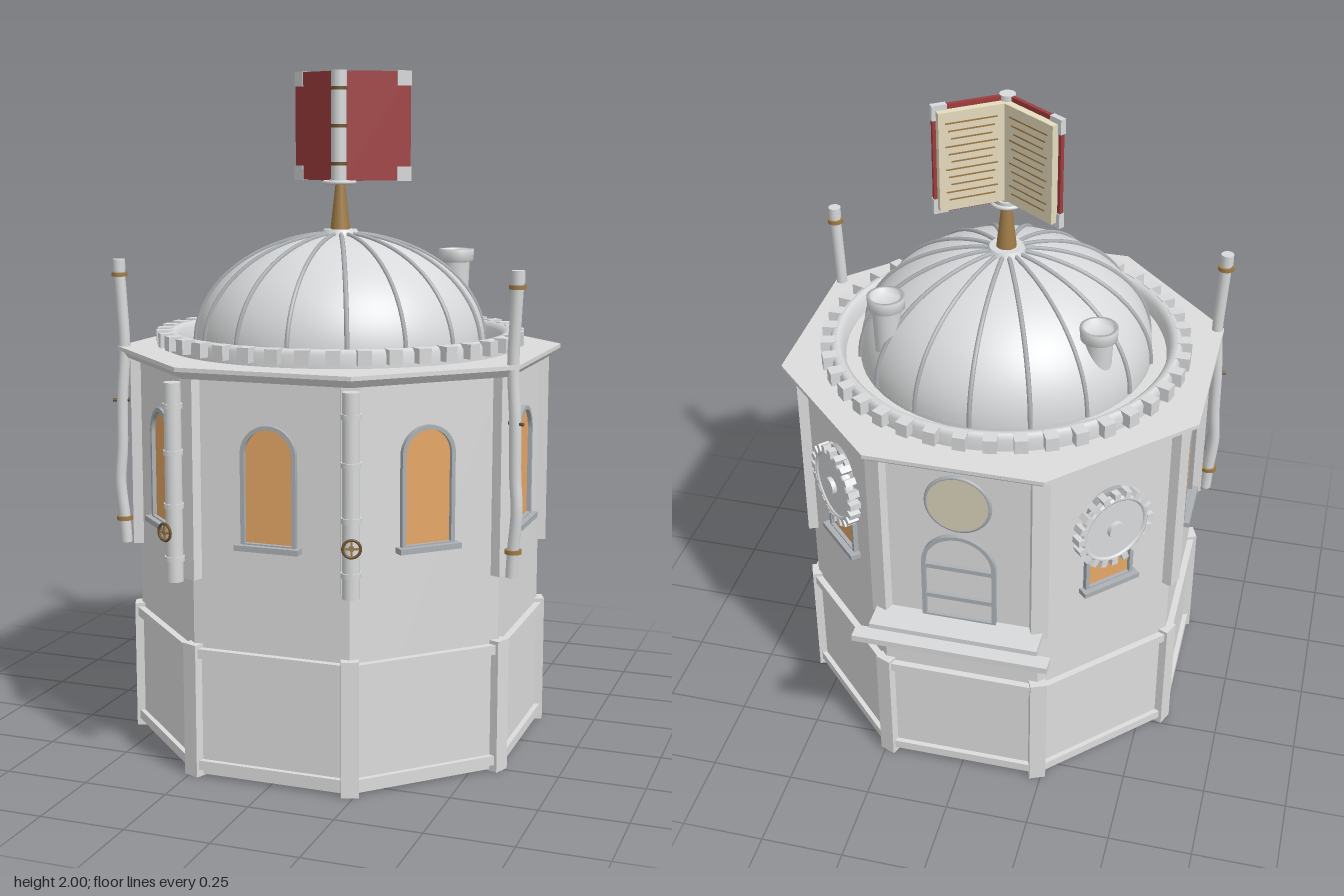
import * as THREE from 'three';

const mat = (name, color) => new THREE.MeshStandardMaterial({ name, color });
const M = {
  wall: mat('wall grey', 0xdcdcdc),
  metal: mat('pale metal', 0xd8d9da),
  frame: mat('frame grey', 0xacb0b4),
  dark: mat('dark bronze', 0x6e5433),
  glass: mat('amber glass', 0xe6a766),
  red: mat('book red', 0xa03c3f),
  paper: mat('paper cream', 0xe6dcbe),
  brass: mat('brass', 0xa07c48),
  pane: mat('dull pane', 0xd6cfb8),
};
const C = Math.cos(Math.PI / 8);

function add(parent, name, geo, material, x = 0, y = 0, z = 0) {
  const m = new THREE.Mesh(geo, material);
  m.name = name;
  m.position.set(x, y, z);
  parent.add(m);
  return m;
}
function sub(parent, name, angle = 0) {
  const g = new THREE.Group();
  g.name = name;
  g.rotation.y = angle;
  parent.add(g);
  return g;
}
const box = (w, h, d) => new THREE.BoxGeometry(w, h, d);
const cyl = (rt, rb, h, n = 20) => new THREE.CylinderGeometry(rt, rb, h, n);
const disc = (r, d, n = 32) => cyl(r, r, d, n).rotateX(Math.PI / 2);
const ring = (r, t, n = 24) => new THREE.TorusGeometry(r, t, 8, n);
const lathe = (pts, n = 64) => new THREE.LatheGeometry(pts.map(p => new THREE.Vector2(...p)), n);
// eight-sided prism with flat sides facing the axes, sized by apothem
const octagon = (top, bottom, h) => {
  const g = new THREE.CylinderGeometry(top / C, bottom / C, h, 8).rotateY(Math.PI / 8).toNonIndexed();
  g.computeVertexNormals();
  return g;
};

// round-headed outline of half width w between heights y0 and y1
function arch(w, y0, y1, Type = THREE.Shape) {
  const s = new Type();
  s.moveTo(-w, y0);
  s.lineTo(w, y0);
  s.lineTo(w, y1 - w);
  s.absarc(0, y1 - w, w, 0, Math.PI, false);
  s.lineTo(-w, y0);
  return s;
}
const extrude = (s, depth) => new THREE.ExtrudeGeometry(s, { depth, bevelEnabled: false, curveSegments: 16 });

function archedOpening(parent, w, y0, y1, fill, fillName) {
  const outer = arch(w, y0, y1);
  outer.holes.push(arch(w - 0.012, y0 + 0.008, y1 - 0.012, THREE.Path));
  add(parent, 'archFrame', extrude(outer, 0.02), M.frame, 0, 0, 0.56);
  add(parent, fillName, extrude(arch(w - 0.01, y0 + 0.004, y1 - 0.01), 0.008), fill, 0, 0, 0.56);
}

function wallWindow(parent) {
  archedOpening(parent, 0.082, 0.69, 1.03, M.glass, 'windowGlass');
  add(parent, 'windowSill', box(0.19, 0.016, 0.04), M.frame, 0, 0.686, 0.577);
}

function wallGear(parent) {
  const g = sub(parent, 'wallGear');
  g.position.set(0, 0.9, 0.587);
  add(g, 'gearDisc', disc(0.11, 0.02, 40), M.metal);
  add(g, 'gearRim', ring(0.104, 0.008, 40), M.metal, 0, 0, 0.008);
  add(g, 'gearHub', disc(0.027, 0.02), M.metal, 0, 0, 0.014);
  add(g, 'gearAxle', disc(0.02, 0.03), M.metal, 0, 0, -0.02);
  for (let i = 0; i < 20; i++) {
    const a = i * Math.PI / 10;
    add(g, 'gearTooth', box(0.02, 0.022, 0.034), M.metal, Math.sin(a) * 0.117, Math.cos(a) * 0.117, 0).rotation.z = -a;
  }
}

function backDoor(parent) {
  add(parent, 'roundPane', disc(0.09, 0.012), M.pane, 0, 1.02, 0.567);
  add(parent, 'roundFrame', ring(0.092, 0.007, 36), M.frame, 0, 1.02, 0.567);
  archedOpening(parent, 0.11, 0.6, 0.91, M.wall, 'doorPanel');
  for (const y of [0.68, 0.79]) add(parent, 'doorBar', box(0.2, 0.014, 0.022), M.frame, 0, y, 0.57);
  add(parent, 'balconyPlank', box(0.5, 0.02, 0.1), M.metal, 0, 0.592, 0.61);
  add(parent, 'balconyEdge', box(0.58, 0.02, 0.048), M.metal, 0, 0.576, 0.68);
}

// upright pipe with collars and a hand valve on a front corner
function valvePipe(parent) {
  add(parent, 'cornerPipe', cyl(0.024, 0.024, 0.56), M.metal, 0, 0.865, 0.68);
  for (const y of [0.65, 0.8, 0.95, 1.08]) add(parent, 'pipeCollar', cyl(0.028, 0.028, 0.014), M.metal, 0, y, 0.68);
  add(parent, 'valveStem', disc(0.007, 0.04, 10), M.brass, 0, 0.73, 0.7);
  add(parent, 'valveWheel', ring(0.024, 0.004), M.dark, 0, 0.73, 0.716);
  for (const a of [0, Math.PI / 2]) add(parent, 'valveSpoke', box(0.046, 0.005, 0.005), M.brass, 0, 0.73, 0.716).rotation.z = a;
}

// tall wavy pipe rising past the roof edge on a side corner
function tallPipe(parent) {
  const pts = [[0.58, 0.655], [0.66, 0.66], [0.77, 0.67], [0.87, 0.663], [1.02, 0.66], [1.18, 0.65], [1.3, 0.655], [1.42, 0.662]];
  const path = new THREE.CatmullRomCurve3(pts.map(([y, r]) => new THREE.Vector3(0, y, r)));
  add(parent, 'tallPipe', new THREE.TubeGeometry(path, 40, 0.017, 12), M.metal);
  add(parent, 'pipeTip', cyl(0.019, 0.019, 0.035), M.metal, 0, 1.428, 0.662);
  for (const [y, r] of [[1.4, 0.661], [0.655, 0.66]]) add(parent, 'pipeBand', cyl(0.024, 0.024, 0.012), M.brass, 0, y, r);
  add(parent, 'pipeBolt', disc(0.005, 0.05, 10), M.dark, 0, 1.02, 0.663);
}

function chimney(parent, x, z, top) {
  const g = sub(parent, 'chimney');
  g.position.set(x, top, z);
  add(g, 'chimneyStack', cyl(0.042, 0.036, 0.17, 24), M.metal, 0, -0.11, 0);
  const cap = [[0.04, -0.04], [0.053, -0.035], [0.055, 0], [0.044, 0], [0.042, -0.02], [0, -0.02]];
  add(g, 'chimneyCap', lathe(cap, 28), M.metal);
}

function book(parent) {
  const g = sub(parent, 'openBook');
  g.position.set(0, 1.837, 0.012);
  add(g, 'bookSpine', cyl(0.023, 0.023, 0.326), M.metal);
  for (const y of [-0.11, 0, 0.11]) add(g, 'spineBand', cyl(0.025, 0.025, 0.01), M.dark, 0, y, 0);
  for (const s of [-1, 1]) {
    const h = sub(g, 'bookHalf', s * 0.6);
    add(h, 'bookCover', box(0.212, 0.322, 0.012), M.red, s * 0.114, 0, 0);
    add(h, 'pageBlock', box(0.2, 0.295, 0.022), M.paper, s * 0.11, 0, -0.017);
    for (const y of [-1, 1]) add(h, 'coverCorner', box(0.044, 0.044, 0.018), M.metal, s * 0.2, y * 0.141, 0);
    // ruled strips across each page
    for (let i = 0; i < 11; i++) {
      const w = 0.15 - 0.015 * ((i * 7) % 3);
      add(h, 'pageLine', box(w, 0.004, 0.004), M.brass, s * 0.115, 0.115 - i * 0.023, -0.028);
    }
  }
}

export function createModel() {
  const root = new THREE.Group();
  root.name = 'octagonalTower';
  const t = sub(root, 'tower');
  t.position.z = 0.015;

  // body and cornice
  add(t, 'towerWall', octagon(0.565, 0.565, 1.15), M.wall, 0, 0.58, 0);
  add(t, 'basePlinth', octagon(0.57, 0.57, 0.37), M.wall, 0, 0.19, 0);
  add(t, 'cornice', octagon(0.612, 0.595, 0.022), M.wall, 0, 1.161, 0);
  add(t, 'roofSlab', octagon(0.62, 0.62, 0.012), M.wall, 0, 1.178, 0);

  // eight sides and eight corners
  for (let k = 0; k < 8; k++) {
    const side = sub(t, 'wallSide', k * Math.PI / 4);
    for (const y of [0.035, 0.365]) add(side, 'baseRail', box(0.46, 0.028, 0.03), M.wall, 0, y, 0.57);
    if (k === 4) backDoor(side);
    else wallWindow(side);
    if (k === 3 || k === 5) wallGear(side);

    const corner = sub(t, 'wallCorner', (k + 0.5) * Math.PI / 4);
    add(corner, 'basePost', box(0.05, 0.39, 0.05), M.wall, 0, 0.195, 0.607);
    add(corner, 'upperPost', box(0.05, 0.57, 0.05), M.wall, 0, 0.865, 0.607);
    if (k === 0 || k === 7) valvePipe(corner);
    if (k === 1 || k === 6) tallPipe(corner);
  }

  // toothed ring around the dome
  add(t, 'roofRing', lathe([[0.525, 1.18], [0.525, 1.222], [0.515, 1.235], [0.5, 1.235], [0.485, 1.22], [0.478, 1.18]], 80), M.metal);
  for (let i = 0; i < 40; i++) {
    const a = i * Math.PI / 20;
    add(t, 'ringTooth', box(0.038, 0.042, 0.044), M.metal, Math.sin(a) * 0.53, 1.216, Math.cos(a) * 0.53).rotation.y = a;
  }

  // dome with ribs
  const profile = (grow, from, to, n) => Array.from({ length: n + 1 }, (_, i) => {
    const a = from + (to - from) * i / n;
    return [Math.cos(a) * (0.435 + grow), 1.195 + Math.sin(a) * (0.325 + grow)];
  });
  add(t, 'domeBase', cyl(0.435, 0.435, 0.02, 64), M.metal, 0, 1.188, 0);
  add(t, 'dome', lathe(profile(0, 0, Math.PI / 2, 24)), M.metal);
  const ribPath = new THREE.CatmullRomCurve3(profile(0.002, 0, 1.47, 12).map(([r, y]) => new THREE.Vector3(0, y, r)));
  const ribGeo = new THREE.TubeGeometry(ribPath, 24, 0.007, 6);
  for (let i = 0; i < 16; i++) add(t, 'domeRib', ribGeo, M.frame).rotation.y = i * Math.PI / 8;
  add(t, 'domeCollar', cyl(0.05, 0.06, 0.02, 28), M.metal, 0, 1.523, 0);
  chimney(t, 0.29, -0.245, 1.465);
  chimney(t, -0.315, -0.2, 1.425);

  // finial and open book
  add(t, 'finial', cyl(0.013, 0.03, 0.15), M.brass, 0, 1.605, 0);
  add(t, 'finialRing', ring(0.045, 0.006).rotateX(Math.PI / 2), M.metal, 0, 1.672, 0.008);
  add(t, 'finialPlate', cyl(0.03, 0.03, 0.01), M.metal, 0, 1.674, 0.008);
  book(t);
  return root;
}
